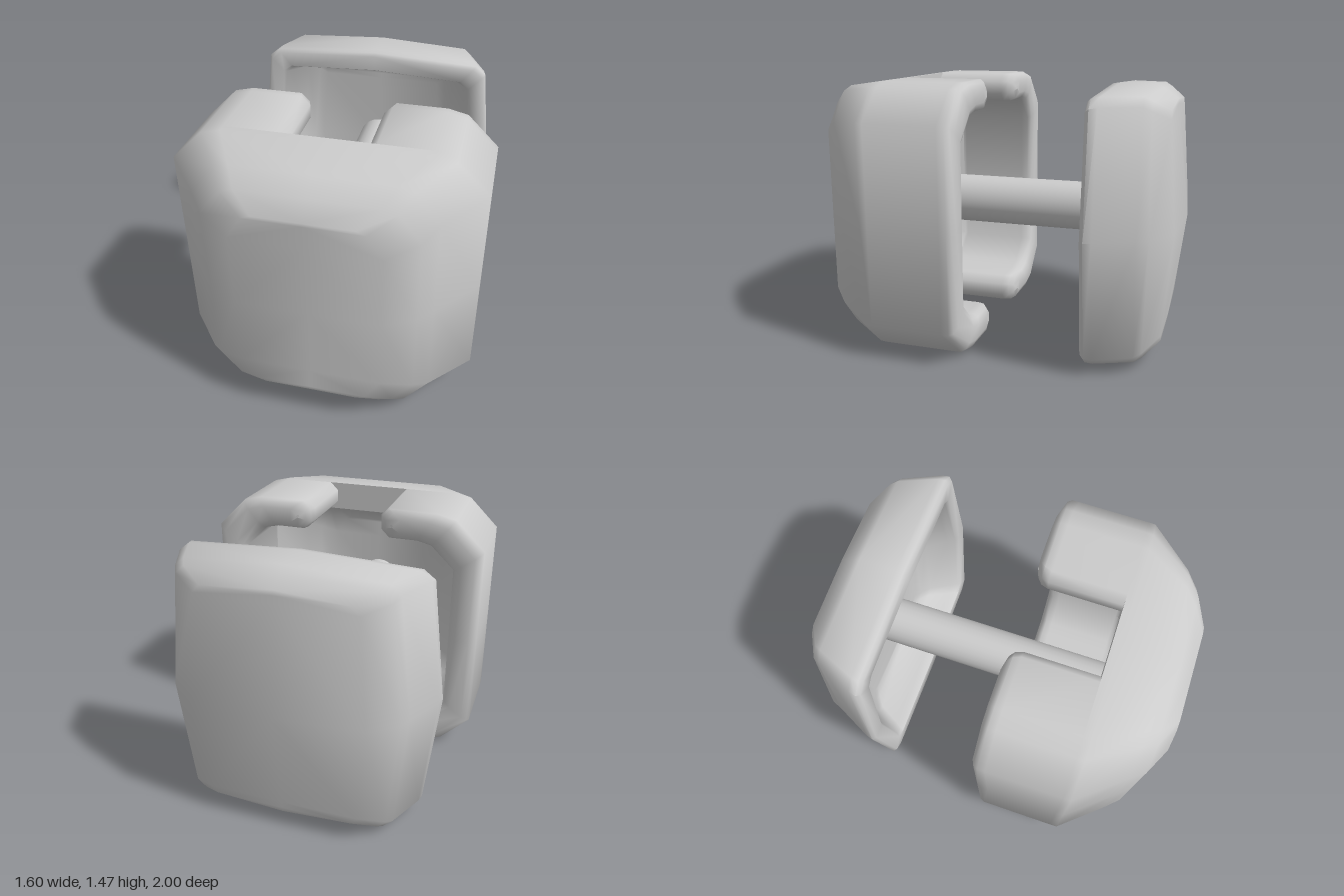
import * as THREE from 'three';
import { toCreasedNormals } from 'three/addons/utils/BufferGeometryUtils.js';

const MID_Y = 0.735;
const material = new THREE.MeshStandardMaterial({ color: 0xcccccc, side: THREE.DoubleSide });

// Right-hand half of a bevelled rectangle, running from top centre to bottom centre.
// A row is [z, halfWidth, halfHeight, slotHalfWidth, slotEdgeRound, bulge].
function halfOutline([z, hw, hh, slot = 0, round = 0, bulge = 0], corner, side) {
  const top = [
    [slot, hh - side * round],
    [slot + round, hh],
    ...corner.map(([u, v]) => [u * hw, v * hh]),
  ];
  const bottom = top.map(([x, y]) => [x, -y]).reverse();
  return [...top, [hw, 0], ...bottom].map(([x, y]) => {
    const dome = bulge * (1 - Math.abs(y) / hh);
    return new THREE.Vector3(x, y + MID_Y, z + dome);
  });
}

// Thick-walled shell: outer rows run from centre to rim, inner rows match them one by one.
function shell(name, outer, inner, corner, flip) {
  const skin = [
    ...outer.map((r) => halfOutline(r, corner, 1)),
    ...inner.map((r) => halfOutline(r, corner, -1)).reverse(),
  ];
  const last = skin[0].length - 1;
  const positions = [];

  const triangle = (a, b, c) => {
    const area = b.clone().sub(a).cross(c.clone().sub(a)).length();
    if (area < 1e-7) return;
    const [p, q] = flip ? [c, b] : [b, c];
    for (const v of [a, p, q]) positions.push(v.x, v.y, v.z);
    for (const v of [a, q, p]) positions.push(-v.x, v.y, v.z);
  };
  const quad = (a, b, c, d) => {
    triangle(a, d, c);
    triangle(a, c, b);
  };

  for (let k = 0; k < skin.length - 1; k++) {
    const s = skin[k], t = skin[k + 1];
    for (let j = 0; j < last; j++) quad(s[j], t[j], t[j + 1], s[j + 1]);
  }

  // Walls of the slots, joining outer skin to inner skin
  for (let k = 0; k < outer.length - 1; k++) {
    const s = skin[k], t = skin[k + 1];
    if (s[0].x === 0 && t[0].x === 0) continue;
    const si = skin[skin.length - 1 - k], ti = skin[skin.length - 2 - k];
    quad(si[0], ti[0], t[0], s[0]);
    quad(s[last], t[last], ti[last], si[last]);
  }

  const geometry = new THREE.BufferGeometry();
  geometry.setAttribute('position', new THREE.Float32BufferAttribute(positions, 3));
  const mesh = new THREE.Mesh(toCreasedNormals(geometry, 1.0), material);
  mesh.name = name;
  return mesh;
}

export function createModel() {
  const group = new THREE.Group();
  group.name = 'slottedShellAndCap';

  // Hollow front body with a slot in its top and bottom
  const R = 0.045;
  group.add(shell('frontBody',
    [
      [1, 0, 0.54], [1, 0.37, 0.54], [0.92, 0.53, 0.618], [0.84, 0.6, 0.695],
      [0.6, 0.8, 0.73], [0.56, 0.8, 0.733],
      [0.56, 0.8, 0.733, 0.2, R], [0.16, 0.8, 0.733, 0.2, R],
      [0.12, 0.8, 0.733, 0.213, R], [0.095, 0.787, 0.72, 0.24, R],
      [0.08, 0.755, 0.688, 0.28, R],
    ],
    [
      [0.86, 0, 0.42], [0.86, 0.3, 0.42], [0.8, 0.4, 0.48], [0.72, 0.47, 0.54],
      [0.58, 0.635, 0.57], [0.56, 0.635, 0.57],
      [0.56, 0.635, 0.57, 0.2, R], [0.16, 0.635, 0.57, 0.2, R],
      [0.12, 0.635, 0.57, 0.213, R], [0.095, 0.648, 0.583, 0.24, R],
      [0.08, 0.68, 0.615, 0.28, R],
    ],
    [[0.66, 1], [0.79, 0.966], [1, 0.74]], false));

  // Hollow cap at the back, domed behind and bowed along all four sides
  group.add(shell('backCap',
    [
      [-0.918, 0, 0.635, 0, 0, -0.082], [-0.918, 0.46, 0.635, 0, 0, -0.05],
      [-0.84, 0.605, 0.69, 0, 0, -0.02], [-0.8, 0.63, 0.715],
      [-0.6, 0.73, 0.715], [-0.56, 0.742, 0.708], [-0.54, 0.725, 0.69],
    ],
    [
      [-0.78, 0, 0.5, 0, 0, -0.01], [-0.78, 0.4, 0.5, 0, 0, -0.01],
      [-0.76, 0.45, 0.54], [-0.72, 0.52, 0.57],
      [-0.6, 0.6, 0.59], [-0.56, 0.63, 0.595], [-0.54, 0.645, 0.605],
    ],
    [[0.82, 0.96], [0.9, 0.895]], true));

  // Rod joining the two
  const rod = new THREE.Mesh(new THREE.CylinderGeometry(0.14, 0.14, 1.66, 24), material);
  rod.name = 'connectingRod';
  rod.rotation.x = Math.PI / 2;
  rod.scale.x = 0.95;
  rod.position.set(-0.005, MID_Y, 0.04);
  group.add(rod);

  return group;
}
